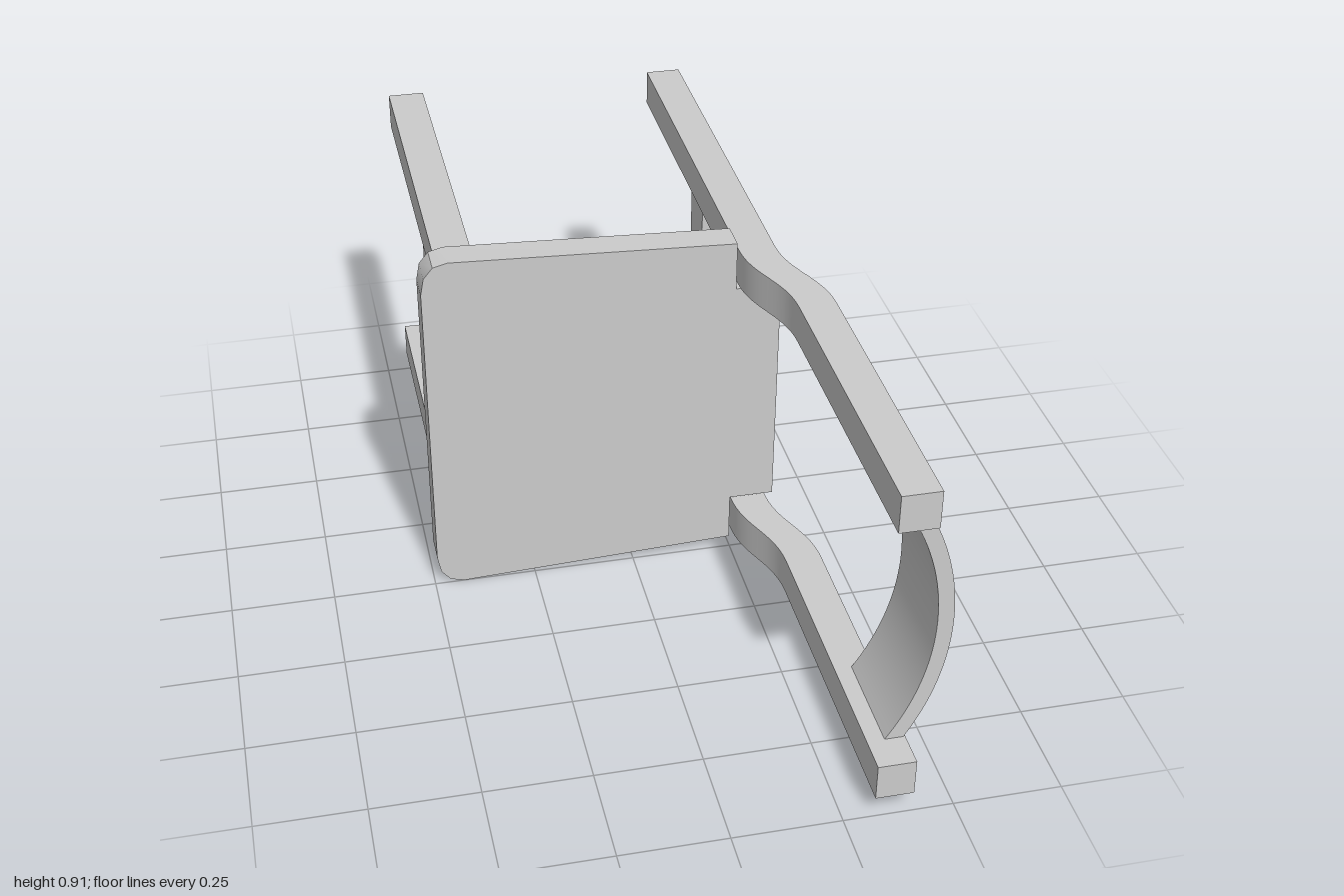
import * as THREE from 'three';
import { toCreasedNormals } from 'three/addons/utils/BufferGeometryUtils.js';

const MID = 0.455; // height of the plane of symmetry
const LEG = 0.09; // leg thickness
const LEG_OFFSET = 0.357; // leg centre from the plane of symmetry

export function createModel() {
  const chair = new THREE.Group();
  chair.name = 'chair';
  const material = new THREE.MeshStandardMaterial({ color: 0xcccccc });

  const add = (name, geometry, x = 0, y = 0, z = 0) => {
    const mesh = new THREE.Mesh(geometry, material);
    mesh.name = name;
    mesh.position.set(x, y, z);
    chair.add(mesh);
  };
  const extrude = (shape, depth) => toCreasedNormals(
    new THREE.ExtrudeGeometry(shape, { depth, bevelEnabled: false, curveSegments: 16 }), 0.5);

  // Seat: tapered panel, rounded front corners, notched for the rear legs
  const half = [[0.357, 0.302], [0.248, 0.302], [0.248, 0.423], [-0.428, 0.453],
    [-0.462, 0.444], [-0.484, 0.417], [-0.492, 0.375]];
  const outline = [
    ...half.map(([x, y]) => new THREE.Vector2(x, y)),
    ...half.slice().reverse().map(([x, y]) => new THREE.Vector2(x, -y)),
  ];
  add('seat', extrude(new THREE.Shape(outline), 0.076), 0, MID, -0.076);

  // Rear leg profile: straight, then an S-bend into the back post
  const x0 = 0.253, x1 = 0.32, w = 0.087, bend = 0.27;
  const profile = new THREE.Shape();
  profile.moveTo(x0, -1);
  profile.lineTo(x0 + w, -1);
  profile.lineTo(x0 + w, -0.01);
  profile.bezierCurveTo(x0 + w, 0.11, x1 + w, 0.15, x1 + w, bend);
  profile.lineTo(x1 + w, 1);
  profile.lineTo(x1, 1);
  profile.lineTo(x1, bend);
  profile.bezierCurveTo(x1, 0.15, x0, 0.11, x0, -0.01);
  profile.closePath();
  const rearLeg = extrude(profile, LEG);
  rearLeg.rotateX(Math.PI / 2);

  // Legs, mirrored about the middle
  for (const [side, label] of [[1, 'upper'], [-1, 'lower']]) {
    const y = MID + side * LEG_OFFSET;
    add(`${label} rear leg`, rearLeg, 0, y + LEG / 2, 0);
    add(`${label} front leg`, new THREE.BoxGeometry(LEG, LEG, 0.924), -0.4, y, -0.538);
  }

  // Stretchers joining each pair of legs
  const span = 2 * LEG_OFFSET - LEG;
  add('front stretcher', new THREE.BoxGeometry(0.045, span, 0.118), -0.4, MID, -0.51);
  add('rear stretcher', new THREE.BoxGeometry(0.045, span, 0.118), 0.299, MID, -0.51);

  // Backrest: curved slat between the posts
  const centre = -0.105, inner = 0.56, outer = 0.596;
  const a = Math.asin(span / 2 / outer), b = Math.asin(span / 2 / inner);
  const slat = new THREE.Shape();
  slat.absarc(centre, 0, outer, -a, a, false);
  slat.absarc(centre, 0, inner, b, -b, true);
  slat.closePath();
  add('backrest', extrude(slat, 0.245), 0, MID, 0.673);

  return chair;
}
